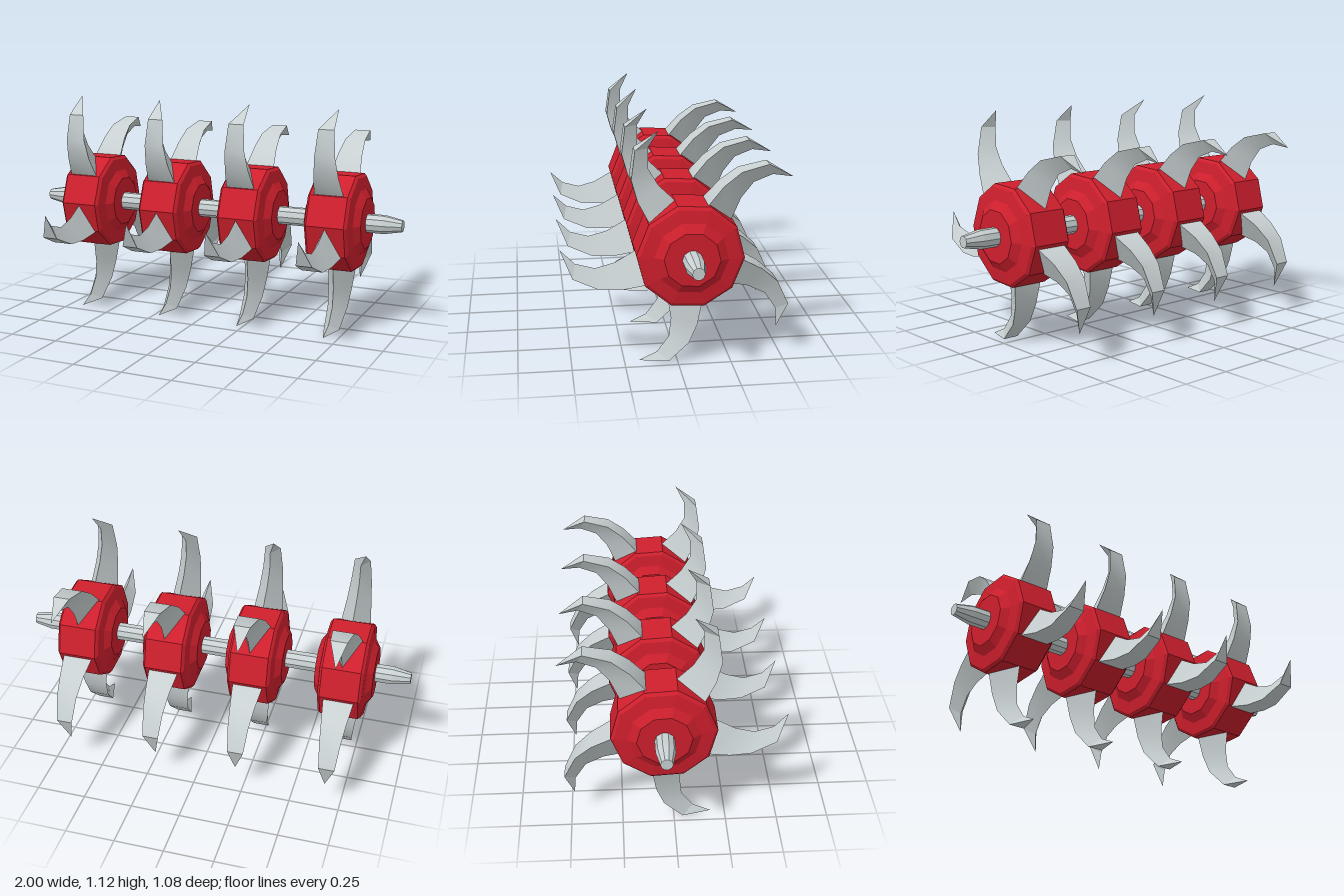
import * as THREE from 'three';

const steel = new THREE.MeshStandardMaterial({ color: 0xc8d0d1, side: THREE.DoubleSide });
steel.name = 'steel';
const red = new THREE.MeshStandardMaterial({ color: 0xcf1f2d });
red.name = 'red paint';

const AXIS_Y = 0.55, AXIS_Z = -0.05;
const rad = THREE.MathUtils.degToRad;

// Faceted solid of revolution along x; profile is [radius, x] with x rising
function turned(profile, sides, startDeg) {
  const g = new THREE.LatheGeometry(profile.map(([r, x]) => new THREE.Vector2(r, x)), sides, rad(startDeg));
  g.rotateZ(-Math.PI / 2);
  const flat = g.toNonIndexed();
  flat.computeVertexNormals();
  return flat;
}

// Mirror a half profile (from the middle outwards) to both sides
const symmetric = half => [...half.slice().reverse().map(([r, x]) => [r, -x]), ...half];

// Blade sections: outer edge [z, y], ridge [z, y], half width of the outer face
const SECTIONS = [
  [[0.150, 0.128], [0.048, 0.192], 0.085],
  [[0.188, 0.160], [0.060, 0.240], 0.075],
  [[0.239, 0.258], [0.137, 0.315], 0.062],
  [[0.266, 0.357], [0.185, 0.396], 0.052],
  [[0.248, 0.488], [0.185, 0.491], 0.040],
];
const TIP = [0.14, 0.575];
const TIP_ANGLE = 76.3;

// Curved blade of triangular section: three smooth strips and a faceted point
function bladeGeometry(tipX) {
  const pos = [], index = [];
  const left = SECTIONS.map(([o, , w]) => [w, o[1], o[0]]);
  const right = SECTIONS.map(([o, , w]) => [-w, o[1], o[0]]);
  const ridge = SECTIONS.map(([, i]) => [0, i[1], i[0]]);
  const tip = [tipX, TIP[1], TIP[0]];
  const strip = (a, b) => {
    const base = pos.length / 3;
    a.forEach((p, k) => pos.push(...p, ...b[k]));
    for (let k = 0; k < a.length - 1; k++) {
      const n = base + 2 * k;
      index.push(n, n + 1, n + 2, n + 1, n + 3, n + 2);
    }
    const end = pos.length / 3;
    pos.push(...a[a.length - 1], ...b[b.length - 1], ...tip);
    index.push(end, end + 1, end + 2);
  };
  strip(right, left);
  strip(left, ridge);
  strip(ridge, right);
  const g = new THREE.BufferGeometry();
  g.setAttribute('position', new THREE.Float32BufferAttribute(pos, 3));
  g.setIndex(index);
  g.computeVertexNormals();
  return g;
}

export function createModel() {
  const model = new THREE.Group();
  model.name = 'tillerRotor';
  const rotor = new THREE.Group();
  rotor.name = 'rotor';
  rotor.position.set(0, AXIS_Y, AXIS_Z);
  model.add(rotor);

  // Shaft with tapered ends
  const shaft = new THREE.Mesh(
    turned(symmetric([[0.047, 0.91], [0.029, 1], [0, 1]]), 10, 0), steel);
  shaft.name = 'shaft';
  rotor.add(shaft);

  // Ten-sided hub with bevelled rim and raised face
  const hubGeometry = turned(symmetric(
    [[0.25, 0.095], [0.235, 0.108], [0.172, 0.117], [0.13, 0.145], [0, 0.145]]), 10, -3.5);

  // Angle of each blade's tip, and its sideways lean
  const blades = [[2, 0.01], [76.3, -0.027], [145.1, -0.01], [223.4, 0.01], [293, 0]];

  [-0.68, -0.223, 0.217, 0.678].forEach((x, n) => {
    const unit = new THREE.Group();
    unit.name = 'bladeUnit' + (n + 1);
    unit.position.x = x;
    const hub = new THREE.Mesh(hubGeometry, red);
    hub.name = 'hub';
    unit.add(hub);
    blades.forEach(([angle, lean], b) => {
      const blade = new THREE.Mesh(bladeGeometry(x > 0 ? -lean : lean), steel);
      blade.name = 'blade' + (b + 1);
      blade.rotation.x = -rad(angle - TIP_ANGLE);
      unit.add(blade);
    });
    rotor.add(unit);
  });
  return model;
}
